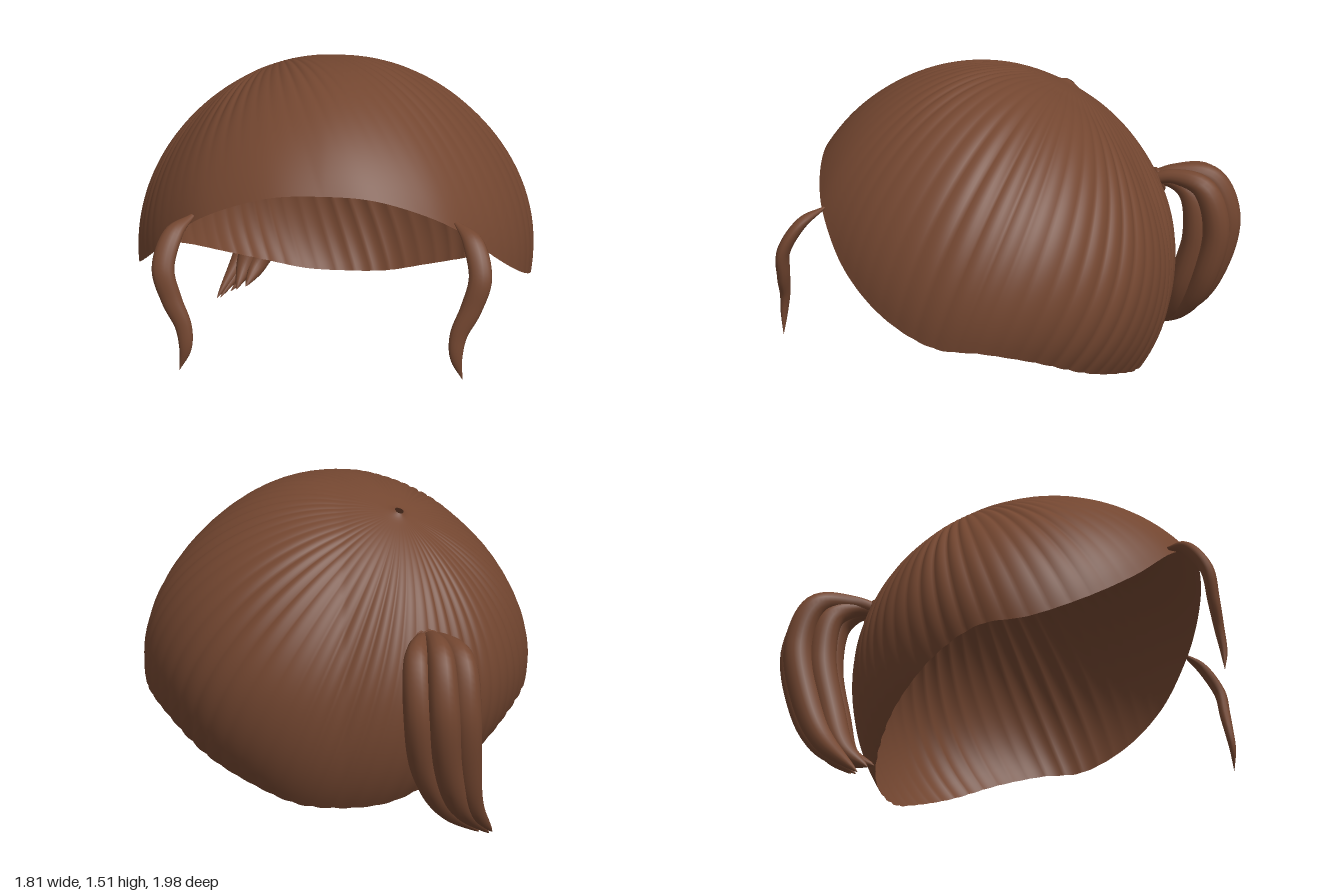
import * as THREE from 'three';

const V = (a) => new THREE.Vector3(...a);
const hairBrown = new THREE.MeshStandardMaterial({ color: 0x734630, side: THREE.DoubleSide });
hairBrown.name = 'hairBrown';

// Smooth surface from closed rings: point(t, u) with t along, u around
function loft(name, rows, cols, point) {
  const pos = [], idx = [];
  for (let j = 0; j <= rows; j++)
    for (let i = 0; i < cols; i++) pos.push(...point(j / rows, i / cols).toArray());
  for (let j = 0; j < rows; j++)
    for (let i = 0; i < cols; i++) {
      const k = (i + 1) % cols, a = j * cols, b = a + cols;
      idx.push(a + i, b + i, b + k, a + i, b + k, a + k);
    }
  const geo = new THREE.BufferGeometry();
  geo.setAttribute('position', new THREE.Float32BufferAttribute(pos, 3));
  geo.setIndex(idx);
  geo.computeVertexNormals();
  const mesh = new THREE.Mesh(geo, hairBrown);
  mesh.name = name;
  return mesh;
}

const scalarCurve = (values, closed = false) =>
  new THREE.CatmullRomCurve3(values.map((v, i) => new THREE.Vector3(v, closed ? 0 : i, 0)), closed, 'catmullrom');

// Tapered lock of hair with an oval section and a rounded tip
function lock(name, points, radii, flat) {
  const path = new THREE.CatmullRomCurve3(points.map(V), false, 'catmullrom');
  const width = scalarCurve(radii);
  return loft(name, 48, 14, (t, u) => {
    const p = path.getPoint(t), tan = path.getTangent(t);
    const side = new THREE.Vector3(1, 0, 0).addScaledVector(tan, -tan.x).normalize();
    const up = side.clone().cross(tan);
    const r = Math.max(width.getPoint(t).x * Math.sqrt(1 - t ** 20), 0.001), a = u * Math.PI * 2;
    return p.addScaledVector(side, r * Math.cos(a)).addScaledVector(up, r * flat * Math.sin(a));
  });
}

// Hair cap: a rounded head shape, ridged from the crown to the hairline
function hairCap() {
  const center = new THREE.Vector3(0, 0.65, 0.1);
  // Radius around the middle plane, every 30 degrees from front over the top
  const profile = scalarCurve([0.95, 0.938, 0.906, 0.862, 0.8, 0.768, 0.803, 0.848, 0.87, 0.9, 0.92, 0.94], true);
  const radius = (n) => {
    const angle = Math.atan2(n.y, n.z) / (Math.PI * 2);
    const mid = profile.getPoint((angle + 1) % 1).x;
    const x2 = n.x * n.x;
    return THREE.MathUtils.lerp(mid, 0.895, Math.pow(x2, 0.6))
      + (n.z > 0 ? 0.17 : 0.09) * x2 * n.z * n.z - 0.09 * x2 * n.y * n.y;
  };
  // Hairline, front to back on the left, then mirrored
  const half = [[0, 1.155, 0.88], [0.2, 1.14, 0.87], [0.4, 1.07, 0.83], [0.55, 0.98, 0.77], [0.72, 0.8, 0.63],
    [0.84, 0.65, 0.43], [0.895, 0.555, 0.2], [0.88, 0.54, 0], [0.78, 0.47, -0.2], [0.6, 0.345, -0.4],
    [0.4, 0.25, -0.52], [0.2, 0.18, -0.59], [0, 0.165, -0.61]];
  const mirrored = half.slice(1, -1).reverse().map(([x, y, z]) => [-x, y, z]);
  const rim = new THREE.CatmullRomCurve3([...half, ...mirrored].map(V), true);
  const crown = new THREE.Vector3(-0.27, 0.75, -0.28).normalize();
  const ridges = 62;

  return loft('hairCap', 48, ridges * 8, (t, u) => {
    const edge = rim.getPointAt(u).sub(center), edgeLength = edge.length();
    edge.normalize();
    const s = 0.014 + 0.986 * t ** 1.3;
    const angle = crown.angleTo(edge);
    const n = crown.clone().multiplyScalar(Math.sin((1 - s) * angle))
      .addScaledVector(edge, Math.sin(s * angle)).divideScalar(Math.sin(angle));
    let r = radius(n) * THREE.MathUtils.lerp(1, edgeLength / radius(edge), s ** 3);
    // Ridges fade at the crown and over the forehead
    const fade = THREE.MathUtils.smoothstep(0.75 - n.z, 0, 0.9);
    const vary = 0.7 + 0.3 * Math.sin(u * Math.PI * 2 * 9);
    const swell = THREE.MathUtils.smoothstep(s, 0.03, 0.55) * (1 - 0.5 * s ** 4);
    r += 0.013 * fade * vary * swell * (Math.abs(Math.cos(u * Math.PI * ridges)) - 0.6);
    // Small raised collar at the crown
    r += 0.04 * Math.exp(-s * 75);
    return n.multiplyScalar(r).add(center);
  });
}

// Ponytail: locks leave the tie, arch backwards and fall to blunt tips
function ponytail() {
  const group = new THREE.Group();
  group.name = 'ponytail';
  const base = [[-0.36, 0.89, -0.52], [-0.365, 0.945, -0.68], [-0.385, 0.915, -0.855], [-0.395, 0.71, -0.932],
    [-0.42, 0.45, -0.88], [-0.49, 0.23, -0.77]];
  const spread = [0.12, 0.4, 0.95, 1, 0.9, 0.6];
  const fall = [0, 0.2, 0.7, 1.1, 1.15, 0.9];
  const locks = [
    [0, 0, [-0.65, 0.012, -0.555]],
    [-0.095, 0.04, [-0.665, 0.015, -0.545]],
    [0.1, 0.04, [-0.6, 0.035, -0.59]],
    [-0.055, 0.13, [-0.56, 0.075, -0.53]],
    [0.06, 0.13, [-0.51, 0.1, -0.515]],
  ];
  for (const [dx, dz, tip] of locks) {
    const pts = base.map(([x, y, z], i) => [x + dx * spread[i], y - dz * 0.6 * spread[i], z + dz * fall[i]]);
    group.add(lock('ponytailLock', [...pts, tip], [0.024, 0.036, 0.056, 0.065, 0.063, 0.05, 0.014], 1));
  }
  // Coiled hair tie at the root
  const out = new THREE.Vector3(-0.42, 0.25, -0.8).normalize();
  for (const [offset, size] of [[-0.03, 0.056], [0, 0.062], [0.022, 0.05]]) {
    const ring = new THREE.Mesh(new THREE.TorusGeometry(size, 0.012, 8, 28), hairBrown);
    ring.name = 'hairTie';
    ring.quaternion.setFromUnitVectors(new THREE.Vector3(0, 0, 1), out);
    ring.position.set(-0.36, 0.895, -0.58).addScaledVector(out, offset);
    group.add(ring);
  }
  return group;
}

export function createModel() {
  const model = new THREE.Group();
  model.name = 'hair';
  model.add(hairCap(), ponytail());

  // Curved locks framing the face
  for (const [side, name] of [[1, 'leftFaceLock'], [-1, 'rightFaceLock']]) {
    const pts = [[0.545, 1.012, 0.765], [0.615, 0.96, 0.85], [0.648, 0.84, 0.925], [0.615, 0.71, 0.945],
      [0.568, 0.6, 0.96], [0.56, 0.5, 0.973], [0.588, 0.4, 0.973]];
    model.add(lock(name, pts.map(([x, y, z]) => [x * side, y, z]),
      [0.01, 0.042, 0.047, 0.044, 0.036, 0.026, 0.004], 0.6));
  }
  return model;
}
